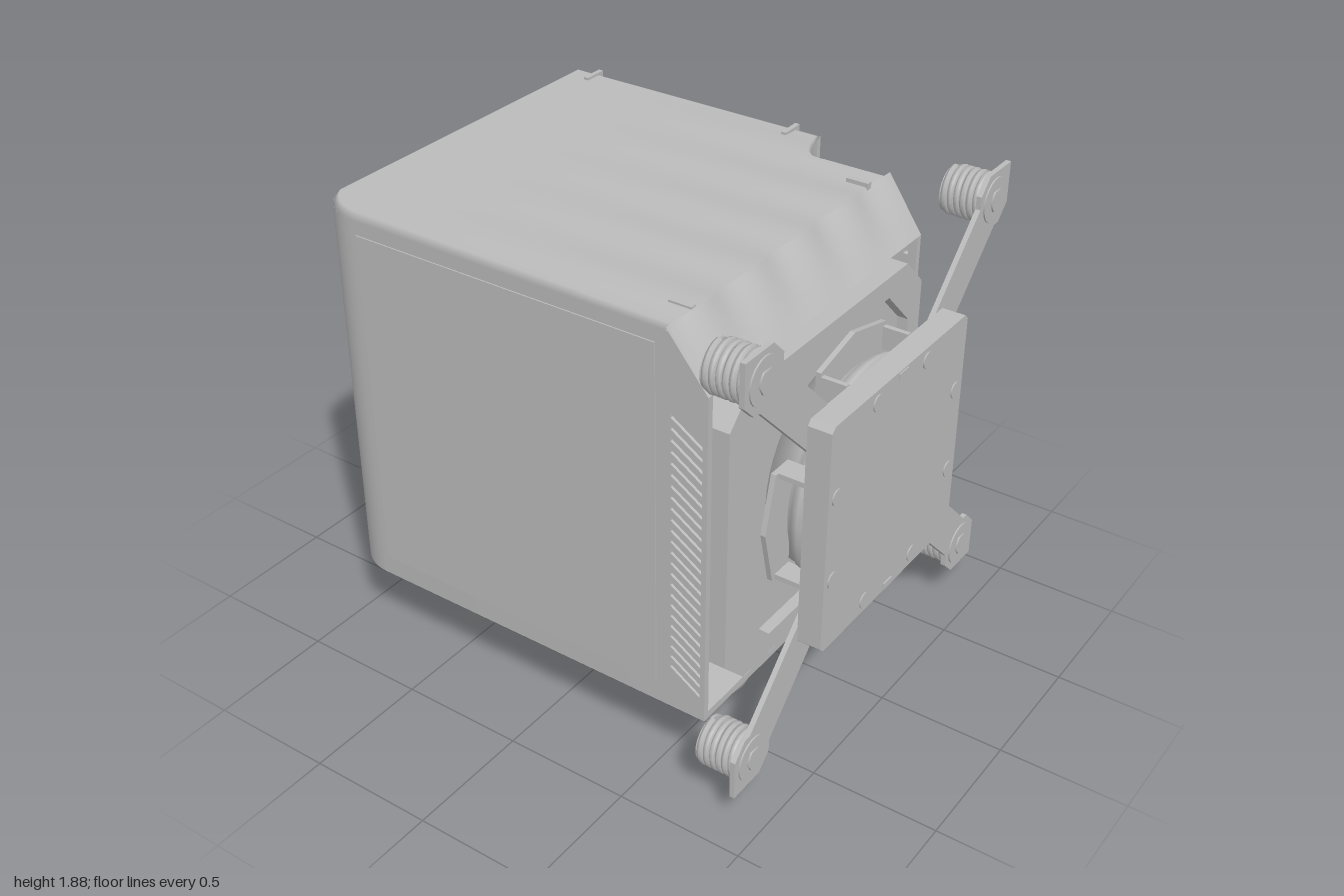
import * as THREE from 'three';
import { ParametricGeometry } from 'three/addons/geometries/ParametricGeometry.js';
import { mergeVertices, toCreasedNormals } from 'three/addons/utils/BufferGeometryUtils.js';

const grey = new THREE.MeshStandardMaterial({ color: 0xbbbbbb, side: THREE.DoubleSide });
grey.name = 'plain grey';

const shapeOf = (pts) => new THREE.Shape(pts.map(([a, b]) => new THREE.Vector2(a, b)));
const pathOf = (pts) => new THREE.Path(pts.map(([a, b]) => new THREE.Vector2(a, b)));
const extrude = (shape, depth) => new THREE.ExtrudeGeometry(shape, { depth, bevelEnabled: false, curveSegments: 8 });
// Outline in (z, y), thickness from x0 to x1
const extrudeX = (shape, x0, x1) => extrude(shape, x1 - x0).rotateY(-Math.PI / 2).translate(x1, 0, 0);
const box = (x0, x1, y0, y1, z0, z1) => new THREE.BoxGeometry(x1 - x0, y1 - y0, z1 - z0)
  .translate((x0 + x1) / 2, (y0 + y1) / 2, (z0 + z1) / 2);
// Cylinder along x
const rod = (r, x0, x1, y, z, sides = 24) => new THREE.CylinderGeometry(r, r, x1 - x0, sides)
  .rotateZ(Math.PI / 2).translate((x0 + x1) / 2, y, z);
const octagon = (z, y, hz, hy, c) => [
  [z - hz + c, y - hy], [z + hz - c, y - hy], [z + hz, y - hy + c], [z + hz, y + hy - c],
  [z + hz - c, y + hy], [z - hz + c, y + hy], [z - hz, y + hy - c], [z - hz, y - hy + c]];

// Case outline: front has one rounded corner, back steps in near the radiator end
const zFront = (x) => x < -0.8 ? 0.58 + Math.sqrt(Math.max(0, 0.04 - (x + 0.8) ** 2)) : 0.78;
const zBack = (x) => x < 0.165 ? -0.77 : x > 0.28 ? -0.59 : -0.59 - 0.18 * ((0.28 - x) / 0.115) ** 3;
const wave = (z) => Math.cos(z * 21);

export function createModel() {
  const model = new THREE.Group();
  const add = (name, geometry, parent = model) => {
    const mesh = new THREE.Mesh(geometry, grey);
    mesh.name = name;
    parent.add(mesh);
    return mesh;
  };
  const group = (name) => {
    const g = new THREE.Group();
    g.name = name;
    model.add(g);
    return g;
  };

  // Main case
  const front = [], back = [];
  for (let i = 0; i <= 10; i++) {
    const x = -0.8 - 0.2 * Math.cos(i / 10 * Math.PI / 2);
    front.push([i === 10 ? -0.8 : x, zFront(x)]);
    const xb = 0.165 + 0.115 * i / 10;
    back.push([xb, zBack(xb) + 0.025]);
  }
  const outline = [[-1, -0.745], ...front, [0.54, 0.78], [0.54, -0.565], ...back.reverse()];
  const caseGeo = extrude(shapeOf(outline), 1.53).rotateX(Math.PI / 2).translate(0, 1.83, 0);
  add('caseBody', toCreasedNormals(mergeVertices(caseGeo), 0.6));

  // Rippled lid, with a rolled edge, and the sloping strip beside it
  add('rippledLid', new ParametricGeometry((u, v, p) => {
    const x0 = -1 + 1.55 * v, zb = zBack(x0), zf = zFront(x0);
    const z = zb + (zf - zb) * u;
    const fade = Math.max(0, (x0 + 0.7) / 1.25);
    const rim = u === 0 || u === 1 || v === 0;
    const x = x0 + 0.01 * wave(z) * fade ** 6;
    p.set(x, rim ? 1.83 : 1.846 + 0.006 * wave(z) * fade, z);
  }, 48, 60));
  add('slopingStrip', new ParametricGeometry((u, v, p) => {
    const z = -0.6 + 1.38 * u;
    const x = 0.55 + 0.01 * wave(z);
    p.set(x + (0.705 - x) * v, 1.846 + 0.006 * wave(z) * (1 - v) - 0.206 * v, z);
  }, 48, 2));

  // Back grille with round holes
  const grille = shapeOf([[-1, 0.3], [0.165, 0.3], [0.165, 1.83], [-1, 1.83]]);
  for (let c = 0; c < 7; c++) for (let r = 0; r < 8; r++) {
    const hole = new THREE.Path();
    hole.absarc(-0.885 + c * 0.155, 0.42 + r * 0.186, 0.062, 0, Math.PI * 2, true);
    grille.holes.push(hole);
  }
  add('backGrille', extrude(grille, 0.025).translate(0, 0, -0.77));

  // Side walls at the radiator end, cut with diagonal slots
  const slottedWall = (x0, s0, s1, pitch, gap) => {
    const s = shapeOf([[x0, 0.3], [0.705, 0.3], [0.705, 1.64], [0.55, 1.83], [x0, 1.83]]);
    for (let y = 0.48; y < 1.55; y += pitch) {
      const drop = (s1 - s0) * 0.65;
      s.holes.push(pathOf([[s0, y], [s1, y - drop], [s1, y - drop + gap], [s0, y + gap]]));
    }
    return s;
  };
  add('frontVent', extrude(slottedWall(0.54, 0.56, 0.685, 0.045, 0.014), 0.025).translate(0, 0, 0.755));
  const backWall = slottedWall(0.28, 0.31, 0.47, 0.05, 0.024);
  for (let y = 0.42; y < 1.6; y += 0.06) for (let i = 0; i < 3; i++) {
    const x = 0.54 + i * 0.055;
    backWall.holes.push(pathOf([[x, y], [x + 0.02, y], [x + 0.02, y + 0.014], [x, y + 0.014]]));
  }
  add('backVent', extrude(backWall, 0.025).translate(0, 0, -0.6));
  add('floorLip', box(0.54, 0.705, 0.3, 0.33, -0.6, 0.78));
  add('frontPanel', box(-0.78, 0.5, 0.385, 1.775, 0.775, 0.785));

  // Clips on the lid and a toothed seam under the case
  const clips = group('lidClips');
  for (const x of [-0.88, 0.06]) add('lidClip', box(x - 0.01, x + 0.01, 1.83, 1.856, -0.77, -0.67), clips);
  for (const z of [-0.47, 0.64]) add('lidClip', box(0.46, 0.55, 1.83, 1.856, z - 0.012, z + 0.012), clips);
  const seam = group('floorSeam');
  const seamCurve = new THREE.CatmullRomCurve3([[-0.96, -0.7], [-0.96, 0.5], [-0.9, 0.68], [-0.74, 0.74], [0.5, 0.74]]
    .map(([x, z]) => new THREE.Vector3(x, 0.3, z)), false, 'centripetal');
  for (let i = 0; i < 26; i++) {
    const t = (i + 0.5) / 26, dir = seamCurve.getTangentAt(t);
    const tooth = add('seamTooth', new THREE.BoxGeometry(0.07, 0.02, 0.02), seam);
    tooth.position.copy(seamCurve.getPointAt(t));
    tooth.rotation.y = Math.atan2(-dir.z, dir.x);
  }

  // Octagonal frame around the pump
  const frame = shapeOf(octagon(0.08, 1.0, 0.635, 0.605, 0.12));
  frame.holes.push(pathOf(octagon(0.06, 1.0, 0.53, 0.52, 0.16)));
  add('octagonFrame', extrudeX(frame, 0.54, 0.745));
  add('frameFloor', extrudeX(shapeOf(octagon(0.06, 1.0, 0.54, 0.53, 0.16)), 0.54, 0.7));

  // Pump
  const py = 1.015, pz = 0.027;
  const profile = [[0, 0.68], [0.38, 0.68], [0.4, 0.8], [0.43, 0.83], [0.44, 0.86], [0.42, 0.9], [0, 0.9]];
  add('pumpHousing', new THREE.LatheGeometry(profile.map(([r, h]) => new THREE.Vector2(r, h)), 40)
    .rotateZ(-Math.PI / 2).translate(0, py, pz));
  add('coldPlate', extrudeX(shapeOf(octagon(pz, py, 0.468, 0.465, 0.02)), 0.9, 0.995));
  const clipShape = shapeOf([[-0.22, 0.38], [0.22, 0.38], [0.22, 0.485], [0, 0.54], [-0.22, 0.485]]);
  for (let i = 0; i < 4; i++) {
    const clip = group('pumpClip');
    add('clipTab', extrudeX(clipShape, 0.78, 0.8), clip);
    for (const s of [-1, 1]) add('clipPost', box(0.78, 0.9, 0.38, 0.47, s * 0.21 - 0.01, s * 0.21 + 0.01), clip);
    clip.position.set(0, py, pz);
    clip.rotation.x = i * Math.PI / 2;
  }
  const screws = group('plateScrews');
  for (const s of [-1, 1]) for (const t of [-1, 1]) {
    add('plateScrew', rod(0.032, 0.99, 1, py + s * 0.415, pz + t * 0.172, 12), screws);
    add('plateScrew', rod(0.032, 0.99, 1, py + s * 0.172, pz + t * 0.415, 12), screws);
  }
  for (const s of [-1, 1]) add('plateKey', box(0.99, 1, py + s * 0.445 - 0.014, py + s * 0.445 + 0.014, 0, 0.06));

  // Mounting arms with sprung bolts
  class Helix extends THREE.Curve {
    getPoint(t, target = new THREE.Vector3()) {
      const a = t * Math.PI * 2 * 5.5;
      return target.set(0.735 + 0.14 * t, 0.085 * Math.cos(a), 0.085 * Math.sin(a));
    }
  }
  const spring = new THREE.TubeGeometry(new Helix(), 130, 0.013, 6);
  const armPoints = [[0.88, 0.88], [0.72, 0.88], [0.66, 0.82], [0.66, 0.77], [0.33, 0.44],
    [0.44, 0.31], [0.79, 0.66], [0.82, 0.66], [0.88, 0.72]];
  for (const sy of [-1, 1]) for (const sz of [-1, 1]) {
    const arm = group('mountingArm');
    const y = 1 + sy * 0.77, z = sz * 0.77;
    add('armPlate', extrudeX(shapeOf(armPoints.map(([a, b]) => [a * sz, 1 + b * sy])), 0.882, 0.902), arm);
    add('spring', spring, arm).position.set(0, y, z);
    add('bolt', rod(0.045, 0.72, 0.9, y, z, 16), arm);
    add('boltCollar', rod(0.088, 0.722, 0.734, y, z), arm);
    add('boltWasher', rod(0.088, 0.9, 0.908, y, z), arm);
    add('boltHead', rod(0.045, 0.9, 0.915, y, z, 6), arm);
  }

  // Hose elbows under the case
  for (const z of [0.4, -0.22]) {
    const hose = group('hoseConnector');
    const path = new THREE.CurvePath();
    const v = (x, y) => new THREE.Vector3(x, y, z);
    path.add(new THREE.LineCurve3(v(0.575, 0.34), v(0.575, 0.28)));
    path.add(new THREE.CubicBezierCurve3(v(0.575, 0.28), v(0.575, 0.2), v(0.55, 0.15), v(0.47, 0.147)));
    path.add(new THREE.LineCurve3(v(0.47, 0.147), v(0.44, 0.147)));
    add('elbow', new THREE.TubeGeometry(path, 30, 0.076, 20), hose);
    add('collar', rod(0.088, 0.44, 0.47, 0.147, z), hose);
    add('sleeve', toCreasedNormals(rod(0.147, 0.2, 0.45, 0.147, z, 40), 0.6), hose);
    add('flange', new THREE.CylinderGeometry(0.125, 0.125, 0.02, 32).translate(0.575, 0.3, z), hose);
  }
  return model;
}
